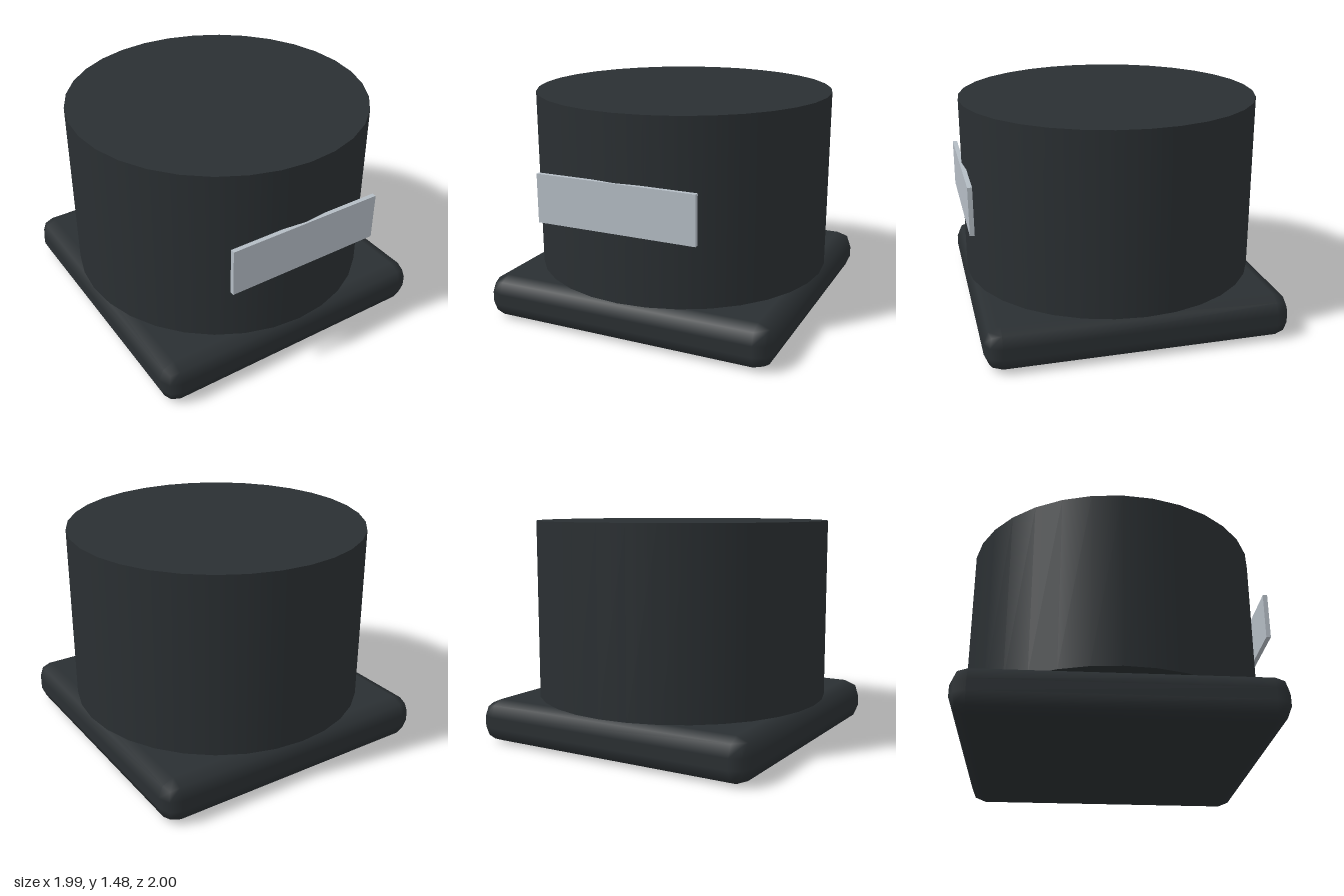
import * as THREE from 'three';
import { RoundedBoxGeometry } from 'three/addons/geometries/RoundedBoxGeometry.js';

export function createModel() {
  const group = new THREE.Group();
  const dark = new THREE.MeshStandardMaterial({ color: 0x2a2f32 });
  const silver = new THREE.MeshStandardMaterial({ color: 0xb4bcc4 });

  const add = (name, geometry, material, y, z) => {
    const mesh = new THREE.Mesh(geometry, material);
    mesh.name = name;
    mesh.position.set(0, y, z);
    group.add(mesh);
  };

  const radius = 0.993, centerZ = -0.007;
  const baseHeight = 0.286, bodyHeight = 1.19;

  // Square base with a coarse rounded edge
  add('base', new RoundedBoxGeometry(radius * 2, baseHeight, radius * 2, 1, 0.107), dark, baseHeight / 2, centerZ);

  // Round body resting on the base
  add('body', new THREE.CylinderGeometry(radius, radius, bodyHeight, 32), dark, baseHeight + bodyHeight / 2, centerZ);

  // Thin flat plate on the front
  add('frontPlate', new THREE.BoxGeometry(1.07, 0.315, 0.03), silver, 0.898, 0.985);

  return group;
}
